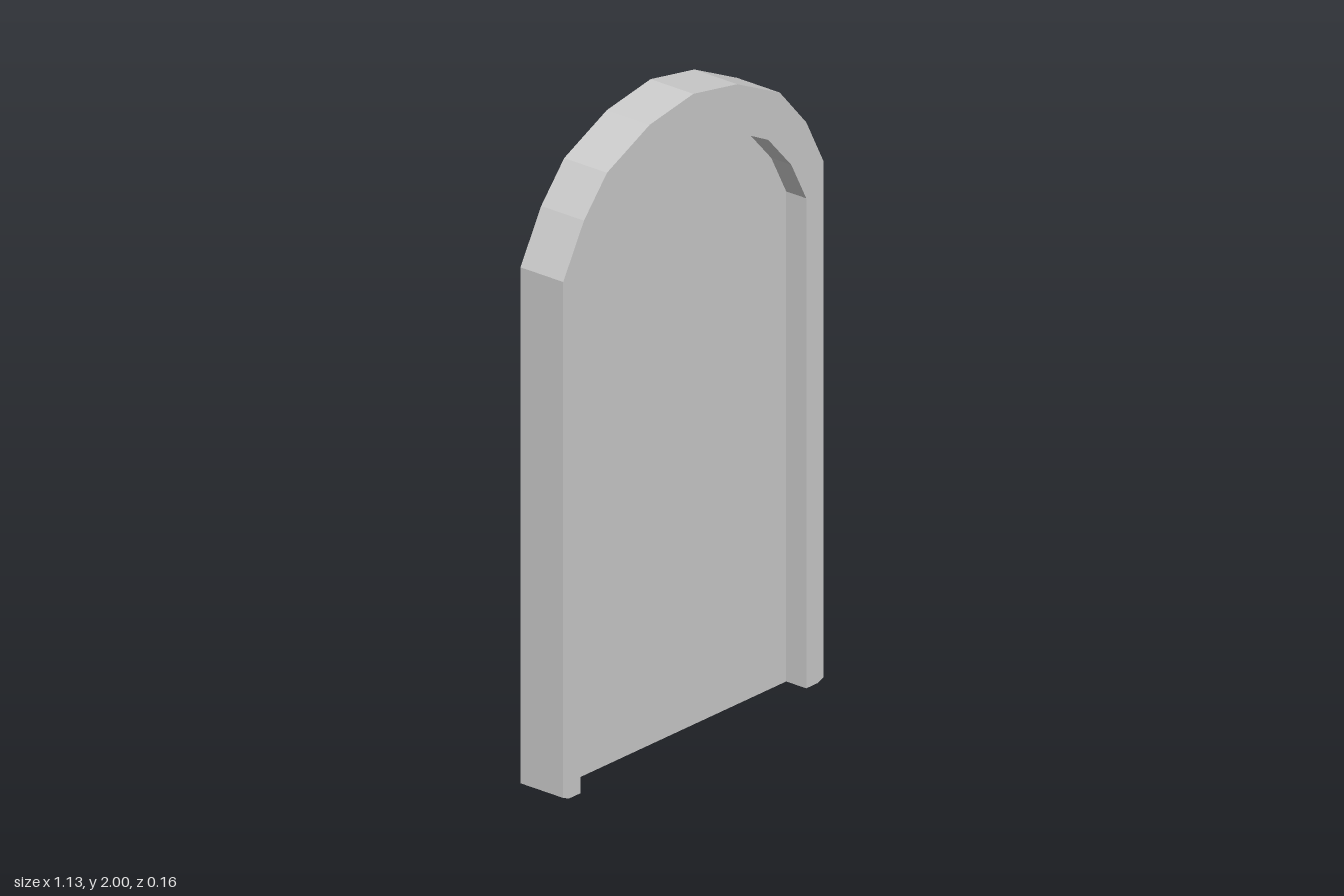
import * as THREE from 'three';

const BACK = -0.08, FRONT = 0.08, PANEL_FRONT = 0.005;

// Arch outlines, running from the right foot over the top to the left foot
const outer = [
  [0.565, 0.01], [0.565, 1.605], [0.49, 1.75], [0.375, 1.88], [0.19, 1.967], [0, 2],
  [-0.19, 1.967], [-0.375, 1.88], [-0.475, 1.765], [-0.565, 1.605], [-0.565, 0.01],
];
const inner = [
  [0.49, 0], [0.49, 1.515], [0.425, 1.64], [0.325, 1.75], [0.165, 1.83], [0, 1.857],
  [-0.165, 1.83], [-0.325, 1.75], [-0.41, 1.655], [-0.49, 1.515], [-0.49, 0],
];

// Extrudes an outline between two depths
function slab(name, points, z0, z1, material) {
  const shape = new THREE.Shape(points.map(([x, y]) => new THREE.Vector2(x, y)));
  const geometry = new THREE.ExtrudeGeometry(shape, { depth: z1 - z0, bevelEnabled: false });
  geometry.translate(0, 0, z0);
  const mesh = new THREE.Mesh(geometry, material);
  mesh.name = name;
  return mesh;
}

export function createModel() {
  const group = new THREE.Group();
  group.name = 'archedPanel';
  const material = new THREE.MeshStandardMaterial({ color: 0xcccccc, flatShading: true });

  // Raised arch frame, open at the bottom, with slightly chamfered feet
  const frameOutline = [[0.54, 0], ...outer, [-0.54, 0], ...[...inner].reverse()];
  group.add(slab('archFrame', frameOutline, BACK, FRONT, material));

  // Recessed panel, flush with the back of the frame
  group.add(slab('recessedPanel', inner, BACK, PANEL_FRONT, material));

  return group;
}
